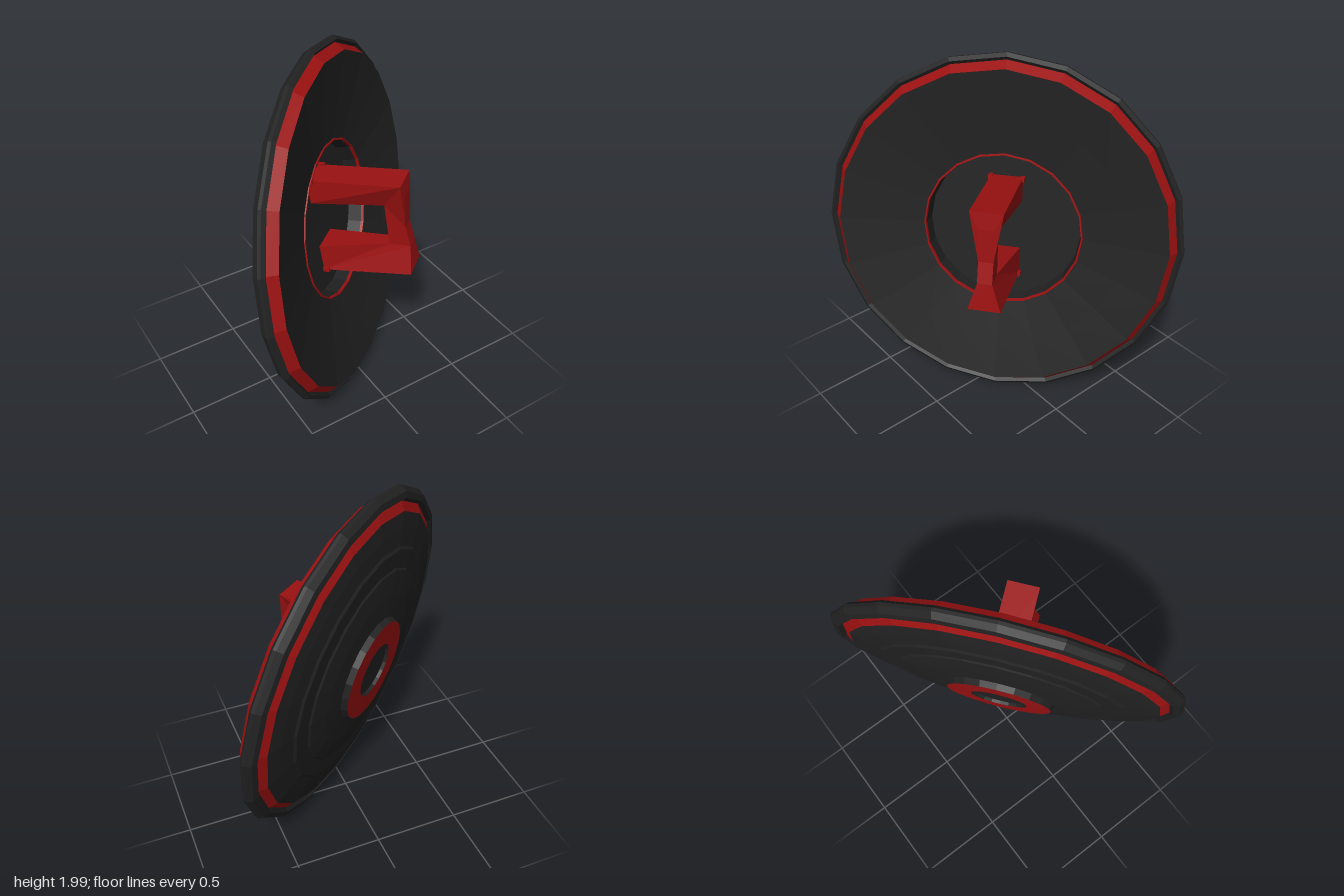
import * as THREE from 'three';

const BLACK = 0x222222;
const RED = 0x9b1111;
const SIDES = 20;

function material(color) {
  return new THREE.MeshStandardMaterial({ color, flatShading: true });
}

// Turned part: profile of [radius, depth] pairs, running from the back to the front (+z)
function turned(name, color, profile) {
  const points = profile.map(([r, d]) => new THREE.Vector2(r, d));
  const geometry = new THREE.LatheGeometry(points, SIDES);
  geometry.rotateX(Math.PI / 2);
  const mesh = new THREE.Mesh(geometry, material(color));
  mesh.name = name;
  return mesh;
}

// C-shaped grip: side outline extruded across, then pinched in the middle
function createHandle() {
  const outline = [
    [-0.12, 0.295], [0.41, 0.285], [0.41, 0.19], [0.395, 0], [0.41, -0.12], [0.41, -0.28],
    [-0.12, -0.3], [-0.12, -0.14], [0.29, -0.115], [0.29, 0.135], [-0.12, 0.15],
  ];
  const shape = new THREE.Shape(outline.map(([d, h]) => new THREE.Vector2(d, h)));
  const geometry = new THREE.ExtrudeGeometry(shape, { depth: 0.18, bevelEnabled: false });
  geometry.translate(0, 0, -0.09);
  geometry.rotateY(-Math.PI / 2);
  const p = geometry.attributes.position;
  for (let i = 0; i < p.count; i++) {
    if (p.getZ(i) > 0.2 && Math.abs(p.getY(i)) < 0.22) p.setX(i, p.getX(i) * 0.45);
  }
  geometry.computeVertexNormals();
  const grip = new THREE.Mesh(geometry, material(RED));
  grip.name = 'grip';

  const handle = new THREE.Group();
  handle.name = 'handle';
  handle.add(grip);
  // Small fixing pins at the corners of both feet
  for (const x of [-0.09, 0.09]) {
    for (const y of [-0.295, 0.29]) {
      const pin = new THREE.Mesh(new THREE.BoxGeometry(0.025, 0.025, 0.04), material(RED));
      pin.position.set(x, y, -0.095);
      pin.name = 'footPin';
      handle.add(pin);
    }
  }
  return handle;
}

export function createModel() {
  const model = new THREE.Group();
  model.name = 'shield';

  const tilted = new THREE.Group();
  tilted.name = 'tiltedShield';
  tilted.rotation.set(THREE.MathUtils.degToRad(-9), THREE.MathUtils.degToRad(38.2), 0, 'YXZ');
  tilted.position.y = 1;
  model.add(tilted);

  tilted.add(
    // Back, from the centre outwards
    turned('backCentre', BLACK, [[0, -0.17], [0.155, -0.17], [0.16, -0.188]]),
    turned('backCentreRing', RED, [[0.16, -0.188], [0.298, -0.186]]),
    turned('backDome', BLACK, [
      [0.298, -0.186], [0.31, -0.152], [0.45, -0.142], [0.575, -0.124], [0.585, -0.115],
      [0.69, -0.111], [0.705, -0.1], [0.8, -0.085], [0.885, -0.065],
    ]),
    turned('backRimBand', RED, [[0.885, -0.065], [0.93, -0.032]]),
    // Outer edge
    turned('outerRim', BLACK, [
      [0.93, -0.032], [0.95, -0.052], [0.985, -0.042], [1.005, -0.01],
      [1.005, 0.008], [0.985, 0.025], [0.968, 0.01],
    ]),
    // Front, from the edge inwards
    turned('frontRimBand', RED, [[0.968, 0.01], [0.93, 0.064]]),
    turned('frontFace', BLACK, [[0.93, 0.064], [0.7, 0.022], [0.455, -0.02]]),
    turned('recessLip', RED, [[0.455, -0.02], [0.452, -0.014], [0.445, -0.014], [0.442, -0.03]]),
    turned('handleRecess', BLACK, [[0.442, -0.03], [0.435, -0.11], [0, -0.115]]),
    createHandle(),
  );
  return model;
}
